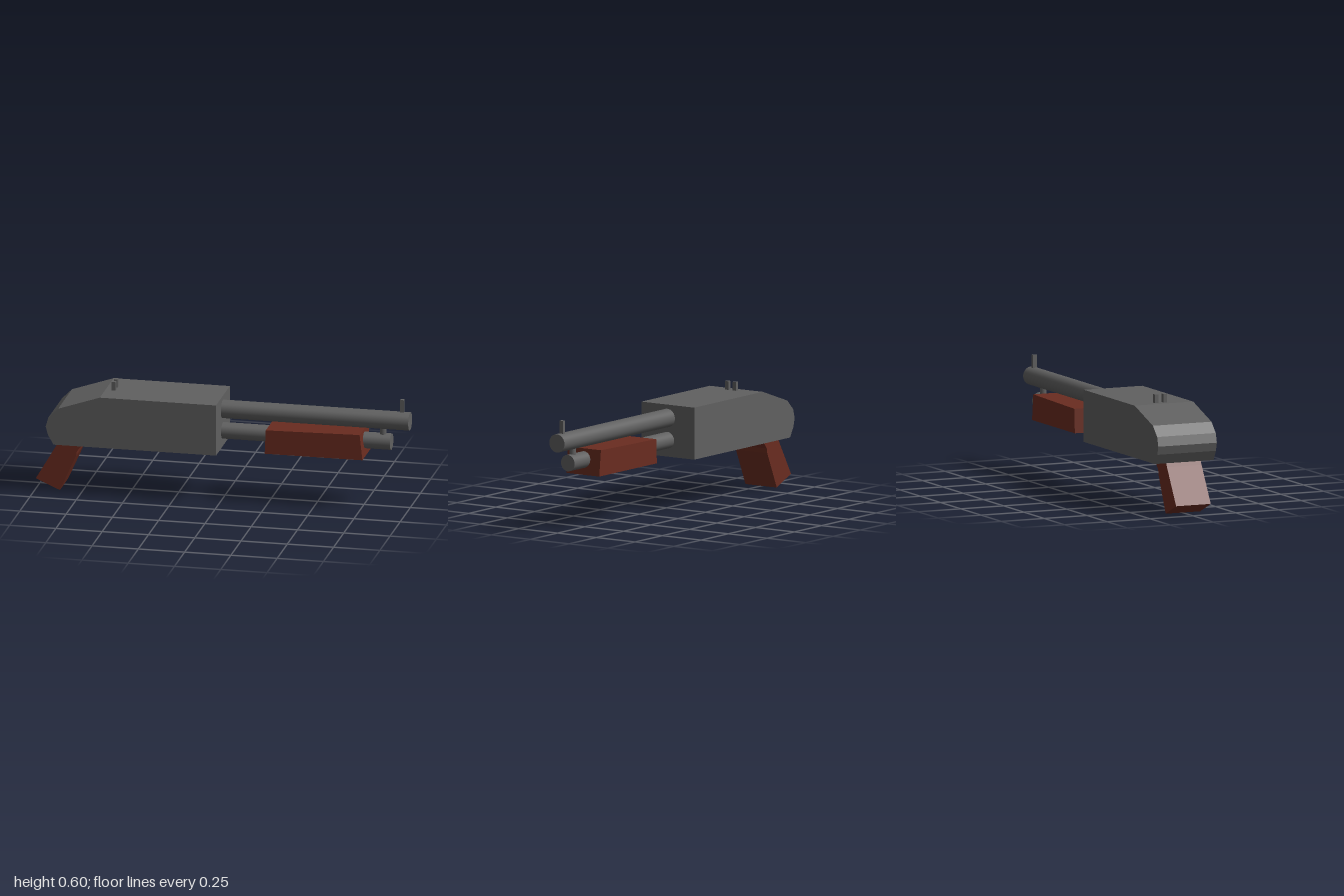
import * as THREE from 'three';

const metal = new THREE.MeshStandardMaterial({ color: 0x606060 });
const wood = new THREE.MeshStandardMaterial({ color: 0x6a2c20 });

export function createModel() {
  const model = new THREE.Group();
  model.name = 'toyPumpGun';

  const add = (name, geometry, material, x = 0, y = 0, z = 0) => {
    const mesh = new THREE.Mesh(geometry, material);
    mesh.name = name;
    mesh.position.set(x, y, z);
    model.add(mesh);
    return mesh;
  };

  // Side outline in x and y, extruded from zMin to zMax
  const slab = (name, points, zMin, zMax, material) => {
    const shape = new THREE.Shape(points.map(([x, y]) => new THREE.Vector2(x, y)));
    const geometry = new THREE.ExtrudeGeometry(shape, { depth: zMax - zMin, bevelEnabled: false });
    return add(name, geometry, material, 0, 0, zMin);
  };

  // Round tube lying along x
  const tube = (name, x0, x1, y, radius) => {
    const geometry = new THREE.CylinderGeometry(radius, radius, x1 - x0, 32).rotateZ(-Math.PI / 2);
    return add(name, geometry, metal, (x0 + x1) / 2, y, 0.004);
  };

  // Receiver with a rounded, sloping rear
  slab('receiver', [
    [-0.89, 0.272], [-0.012, 0.272], [-0.012, 0.55], [-0.64, 0.55],
    [-0.865, 0.473], [-0.918, 0.42], [-0.932, 0.37], [-0.92, 0.325],
  ], -0.17, 0.172, metal);

  // Raked hand grip
  slab('grip', [
    [-1, 0.057], [-0.87, 0], [-0.783, 0.195], [-0.778, 0.222],
    [-0.735, 0.274], [-0.865, 0.29], [-0.887, 0.25],
  ], -0.098, 0.104, wood);

  // Barrel, lower tube and the sliding fore-end
  tube('barrel', -0.015, 1, 0.479, 0.049);
  tube('lowerTube', -0.015, 0.9, 0.36, 0.044);
  slab('foreEnd', [[0.237, 0.28], [0.765, 0.28], [0.75, 0.419], [0.243, 0.41]], -0.104, 0.109, wood);

  // Post joining the two tubes
  add('tubeLink', new THREE.CylinderGeometry(0.018, 0.018, 0.06, 20), metal, 0.855, 0.418, 0.004);

  // Front bead and the rear pair of sight posts
  add('frontSight', new THREE.BoxGeometry(0.02, 0.085, 0.022), metal, 0.957, 0.5535, 0);
  for (const z of [0.025, -0.025]) {
    add('rearSight', new THREE.BoxGeometry(0.02, 0.055, 0.022), metal, -0.595, 0.5685, z);
  }

  return model;
}
